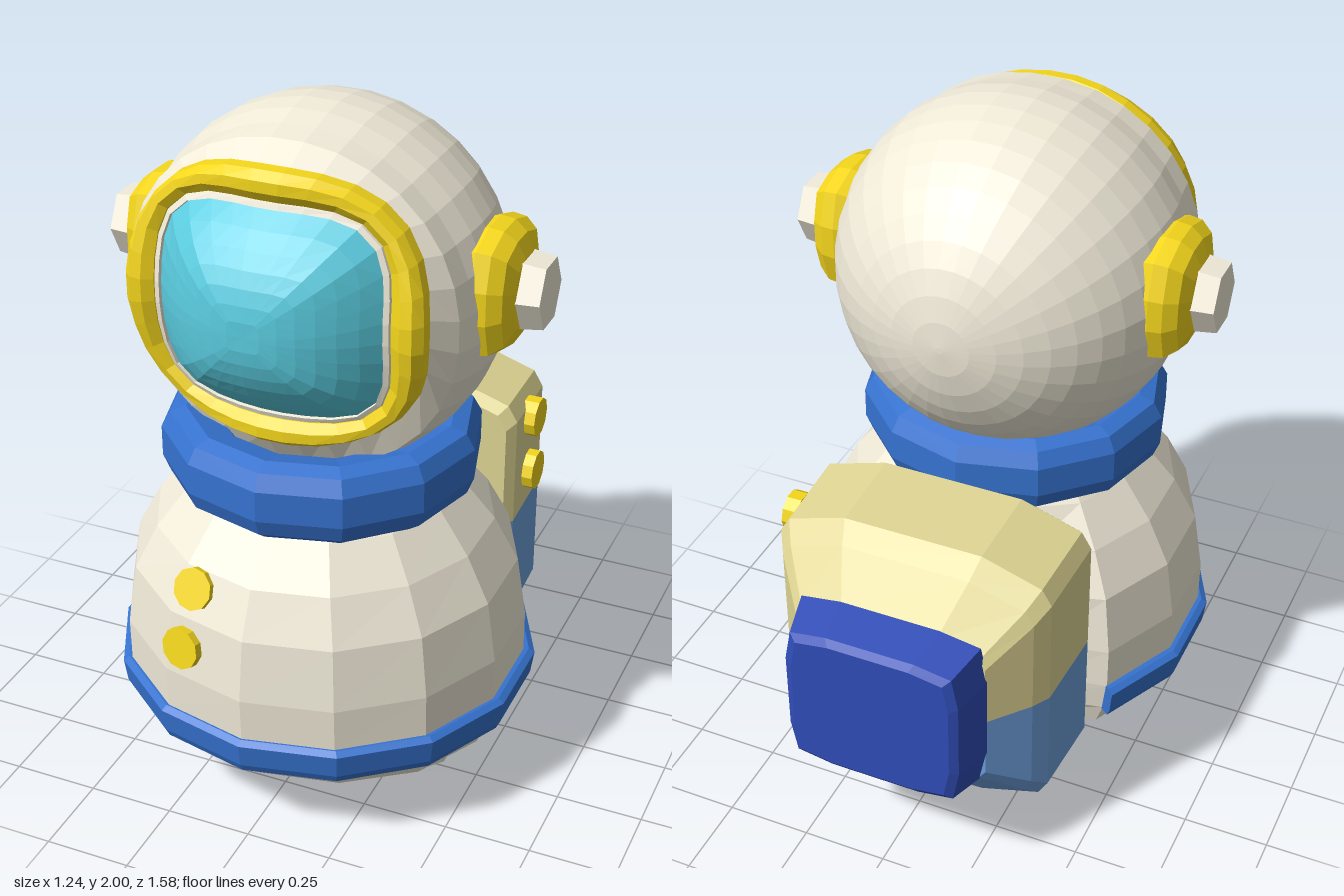
import * as THREE from 'three';

const COLORS = {
  white: 0xf0ead8, yellow: 0xf4d61c, blue: 0x3673d0, navy: 0x304db8,
  tan: 0xe0d694, sky: 0x6f9fdc, cyan: 0x5accdf,
};

function part(parent, name, geometry, color) {
  const material = new THREE.MeshStandardMaterial({ color: COLORS[color], flatShading: true });
  const mesh = new THREE.Mesh(geometry, material);
  mesh.name = name;
  parent.add(mesh);
  return mesh;
}

// Skin closed rings of [x, y, z] points, optionally capping the first and last ring
function loft(rings, capStart = true, capEnd = true) {
  const n = rings[0].length, pos = rings.flat(2), index = [];
  for (let i = 0; i < rings.length - 1; i++) {
    for (let j = 0; j < n; j++) {
      const k = (j + 1) % n, a = i * n + j, b = i * n + k;
      index.push(a, b, b + n, a, b + n, a + n);
    }
  }
  const cap = (row, flip) => {
    const c = pos.length / 3;
    for (let k = 0; k < 3; k++) pos.push(rings[row].reduce((s, p) => s + p[k], 0) / n);
    for (let j = 0; j < n; j++) {
      const a = row * n + j, b = row * n + (j + 1) % n;
      index.push(c, flip ? b : a, flip ? a : b);
    }
  };
  if (capStart) cap(0, true);
  if (capEnd) cap(rings.length - 1, false);
  const g = new THREE.BufferGeometry();
  g.setAttribute('position', new THREE.Float32BufferAttribute(pos, 3));
  g.setIndex(index);
  g.computeVertexNormals();
  return g;
}

// Rounded-square ring facing z; power 2 is an ellipse, bend pulls the corners back
function squircle(rx, ry, z, { y = 0, n = 32, power = 2, bend = 0 } = {}) {
  return Array.from({ length: n }, (_, i) => {
    const a = (i + 0.5) / n * Math.PI * 2, c = Math.cos(a), s = Math.sin(a);
    const r = (Math.abs(c) ** power + Math.abs(s) ** power) ** (-1 / power);
    return [c * r * rx, y + s * r * ry, z - bend * Math.sin(2 * a) ** 2];
  });
}

// Small disc whose axis points along dir
function button(parent, name, at, dir) {
  const b = part(parent, name, new THREE.CylinderGeometry(0.06, 0.06, 0.045, 10), 'yellow');
  b.position.set(...at);
  b.quaternion.setFromUnitVectors(new THREE.Vector3(0, 1, 0), new THREE.Vector3(...dir).normalize());
}

function buildBody(root) {
  const SEGS = 14, CZ = 0.2;
  // Rows: height, half width, front z, flat back z
  const rows = [
    [0, 0.36, 0.42, 0.0], [0.02, 0.41, 0.44, -0.02], [0.08, 0.42, 0.5, -0.07],
    [0.1, 0.46, 0.56, -0.09], [0.17, 0.53, 0.68, -0.15], [0.25, 0.565, 0.745, -0.19],
    [0.35, 0.583, 0.77, -0.2], [0.48, 0.583, 0.775, -0.205], [0.66, 0.555, 0.75, -0.2],
    [0.79, 0.485, 0.69, -0.17], [0.9, 0.395, 0.6, -0.13], [1.0, 0.3, 0.5, -0.08],
  ];
  part(root, 'body', loft(rows.map(([y, rx, zf, zb]) =>
    Array.from({ length: SEGS }, (_, j) => {
      const a = j / SEGS * Math.PI * 2, c = Math.cos(a);
      // Oval foot, flat back above it
      const back = y < 0.12 ? CZ + (CZ - zb) * c : Math.max(CZ + rx * c, zb);
      return [rx * Math.sin(a), y, c > 0 ? CZ + (zf - CZ) * c : back];
    }))), 'white');

  // Belt, open behind the backpack, with closed ends
  const belt = new THREE.Group();
  belt.name = 'belt';
  belt.position.z = 0.19;
  belt.scale.x = 1.02;
  root.add(belt);
  const section = [[0.5, 0.245], [0.58, 0.245], [0.592, 0.27], [0.602, 0.34], [0.585, 0.352], [0.5, 0.352]]
    .map(p => new THREE.Vector2(...p));
  const half = 5 * Math.PI * 2 / SEGS;
  part(belt, 'beltBand', new THREE.LatheGeometry([...section, section[0]], 10, -half, 2 * half), 'blue');
  for (const side of [-1, 1]) {
    const end = part(belt, 'beltEnd', new THREE.ShapeGeometry(new THREE.Shape(section)), 'blue');
    end.rotation.y = side * half - Math.PI / 2;
    end.material.side = THREE.DoubleSide;
  }

  // Collar ring
  const profile = [[0.27, 0.91], [0.39, 0.9], [0.43, 0.93], [0.45, 0.98], [0.45, 1.07],
    [0.425, 1.115], [0.38, 1.13], [0.3, 1.11], [0.26, 1.05], [0.27, 0.91]];
  const collar = new THREE.LatheGeometry(profile.map(p => new THREE.Vector2(...p)), 12);
  part(root, 'collar', collar.scale(1, 1, 0.968).translate(0, 0, 0.215), 'blue');

  button(root, 'upperChestButton', [-0.172, 0.738, 0.672], [-0.15, 0.45, 1]);
  button(root, 'lowerChestButton', [-0.19, 0.575, 0.722], [-0.2, 0.17, 1]);
}

function buildHelmet(root) {
  const helmet = new THREE.Group();
  helmet.name = 'helmet';
  root.add(helmet);

  // Window rings [scale, z]: round outside, squarer inside, corners curving back
  const windowRing = ([s, z]) => squircle(0.42 * s, 0.385 * s, z,
    { y: 1.54, power: 2.4 + (1 - s) * 6, bend: 0.05 * s * s });

  // Globe from the back pole forward, ending in the window opening
  const globe = [];
  for (let i = 0; i <= 13; i++) {
    const a = 0.02 + i / 13 * 1.85;
    globe.push(squircle(0.507 * Math.sin(a), 0.507 * Math.sin(a), 0.195 - 0.507 * Math.cos(a), { y: 1.495 }));
  }
  globe.push(squircle(0.47, 0.46, 0.415, { y: 1.505, power: 2.1 }), windowRing([0.985, 0.495]));
  part(helmet, 'helmetShell', loft(globe, true, false), 'white');

  part(helmet, 'windowRim', loft([[0.95, 0.47], [1, 0.495], [0.995, 0.53], [0.94, 0.556],
    [0.86, 0.556], [0.79, 0.537], [0.77, 0.5]].map(windowRing), false, false), 'yellow');
  part(helmet, 'windowLip', loft([[0.8, 0.5], [0.78, 0.54], [0.745, 0.545], [0.72, 0.5]]
    .map(windowRing), false, false), 'white');
  const dome = [[0.75, 0.5]];
  for (let i = 0; i < 7; i++) {
    const t = 1 - i / 7;
    dome.push([0.74 * t, 0.535 + 0.16 * (1 - t ** 2.3)]);
  }
  part(helmet, 'visor', loft(dome.map(windowRing), false, true), 'cyan');

  // Ear pads with hexagonal knobs
  for (const side of [0, 1]) {
    const ear = new THREE.Group();
    ear.name = side ? 'rightEar' : 'leftEar';
    ear.position.set(0, 1.547, 0.16);
    ear.rotation.y = side * Math.PI;
    helmet.add(ear);
    const pad = loft([[0.43, 0.94], [0.465, 1], [0.505, 0.97], [0.54, 0.82], [0.56, 0.55]]
      .map(([x, s]) => squircle(0.172 * s, 0.176 * s, x, { n: 12, power: 3.6 })));
    part(ear, 'earPad', pad.rotateY(Math.PI / 2), 'yellow');
    const knob = new THREE.CylinderGeometry(0.09, 0.105, 0.12, 6);
    part(ear, 'earKnob', knob.rotateZ(-Math.PI / 2).scale(1, 1.1, 1).translate(0.562, 0, 0), 'white');
  }
}

function buildBackpack(root) {
  const pack = new THREE.Group();
  pack.name = 'backpack';
  pack.position.y = 0.575;
  root.add(pack);

  // Half section with a gently crowned edge; dir -1 gives the lower half
  const halfRing = (w, h, z, dir) => {
    const side = [[1, 0], [1, 0.76], [0.93, 0.87], [0.5, 1]];
    const ring = [...side, ...side.map(([x, y]) => [-x, y]).reverse()]
      .map(([x, y]) => [x * w, y * h * dir, z]);
    return dir > 0 ? ring : ring.reverse();
  };
  // Rows from back to front: z, half width, half height
  const rows = [[-0.66, 0.285, 0.25], [-0.55, 0.378, 0.38], [-0.5, 0.408, 0.435],
    [-0.24, 0.418, 0.445], [-0.21, 0.395, 0.42]];
  for (const [name, dir, color] of [['packTop', 1, 'tan'], ['packBottom', -1, 'sky']]) {
    part(pack, name, loft(rows.map(([z, w, h]) => halfRing(w, h, z, dir))), color);
  }

  // Rear panel
  const panel = [[-0.79, 0.235, 0.215], [-0.775, 0.258, 0.235], [-0.65, 0.29, 0.258]];
  part(pack, 'rearPanel', loft(panel.map(([z, w, h]) =>
    squircle(w, h, z, { y: 0.015, n: 20, power: 9 }))), 'navy');

  button(pack, 'upperPackButton', [0.425, 0.297, -0.37], [1, 0, 0]);
  button(pack, 'lowerPackButton', [0.425, 0.115, -0.37], [1, 0, 0]);
}

export function createModel() {
  const root = new THREE.Group();
  root.name = 'spaceSuitFigure';
  buildBody(root);
  buildHelmet(root);
  buildBackpack(root);
  return root;
}
